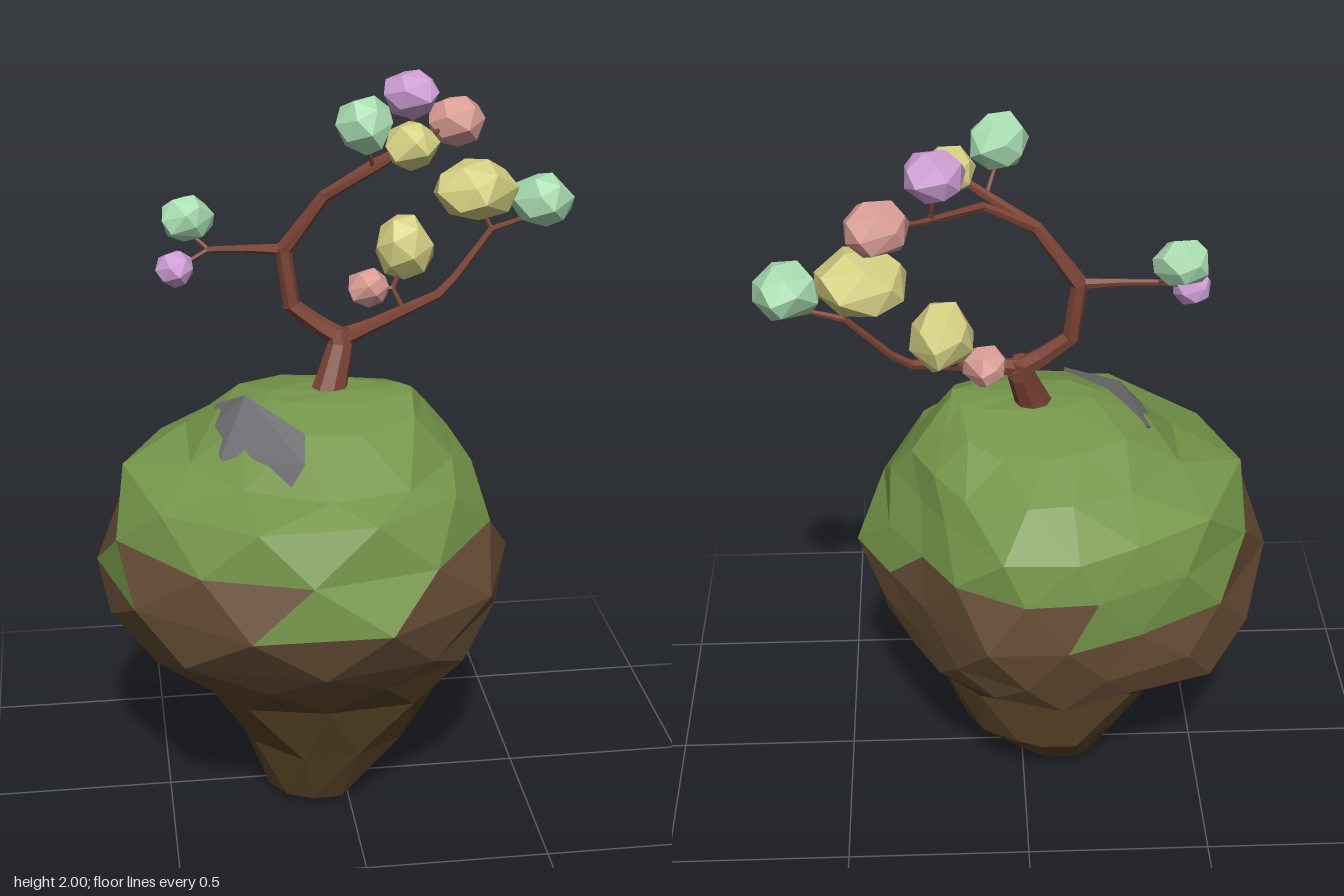
import * as THREE from 'three';
import { ConvexGeometry } from 'three/addons/geometries/ConvexGeometry.js';

const mat = (color) => new THREE.MeshStandardMaterial({ color, flatShading: true, roughness: 0.9 });
const bark = mat(0x7a4234);
const leafMats = {
  green: mat(0xa8dcb0), yellow: mat(0xd6d284), pink: mat(0xd69a92), violet: mat(0xcc9cd3),
};

// small seeded generator, returns -1..1
let seed = 7;
const rnd = () => {
  seed = (seed * 16807) % 2147483647;
  return (seed / 2147483647) * 2 - 1;
};

function mesh(name, geometry, material) {
  const m = new THREE.Mesh(geometry, material);
  m.name = name;
  return m;
}

function fromTriangles(points) {
  const g = new THREE.BufferGeometry().setFromPoints(points);
  g.computeVertexNormals();
  return g;
}

// Island plan: corners as [degrees from +x towards +z, relative radius]
const PLAN = [[2, 1], [38, 1.03], [73, 1.035], [109, 1.02], [147, 1], [184, 1],
  [220, 0.94], [250, 0.91], [271, 1], [291, 1.07], [319, 0.89], [342, 0.88]];
// Island rings: [y, left x, right x, back z, front z, how far the plan applies,
// then the diagonal bulge towards front left, front right, back right]
const RINGS = [
  [0.015, -0.22, 0.02, -0.11, 0.16, 0, 0.15, 0, 0.1],
  [0.18, -0.29, 0.17, -0.26, 0.22, 0, 0.1, 0.05, 0.05],
  [0.36, -0.39, 0.27, -0.28, 0.28, 0.3, 0.1, 0.1, 0.22],
  [0.49, -0.57, 0.36, -0.46, 0.37, 0.6, 0.08, 0.05, 0.1],
  [0.59, -0.64, 0.40, -0.51, 0.47, 0.9, 0.03, 0, 0.04],
  [0.715, -0.68, 0.46, -0.55, 0.55, 1, 0, 0, 0],
  [0.85, -0.63, 0.40, -0.53, 0.50, 1, 0, 0, 0],
  [0.975, -0.58, 0.34, -0.51, 0.46, 0.8, 0, 0, 0],
  [1.04, -0.44, 0.30, -0.40, 0.36, 0.6, 0, -0.08, 0],
  [1.14, -0.33, 0.22, -0.27, 0.21, 0.2, 0, -0.12, 0],
  [1.185, -0.20, 0.19, -0.09, 0.08, 0, 0, 0, 0],
];
// directions (degrees from +x towards +z) where the grass hangs lower
const GRASS_TONGUES = [[60, 104], [-28, 5], [-150, -95], [160, 180]];

function buildIsland() {
  const N = PLAN.length;
  const rings = RINGS.map(([y, x0, x1, z0, z1, planAmount, ...bulge], i) => {
    const level = i === 0 || i === 5 || i === 10;
    return PLAN.map(([deg, radius], j) => {
      let a = deg, p = radius;
      // every other ring sits halfway between the corners
      if (i % 2 === 0) {
        const [deg2, radius2] = PLAN[(j + 1) % N];
        a = (deg + deg2 + (j === N - 1 ? 360 : 0)) / 2;
        p = (radius + radius2) / 2;
      }
      a = THREE.MathUtils.degToRad((a + (level ? 0 : rnd() * 3)) % 360);
      const swell = bulge[Math.floor(((a + Math.PI * 2) % (Math.PI * 2)) / (Math.PI / 2))] ?? 0;
      const r = (1 + planAmount * (p - 1)) * (1 + swell * Math.abs(Math.sin(2 * a)))
        * (i === 5 ? 1 : 1.025 + rnd() * 0.02);
      const tilt = i === 8 ? -0.025 * Math.sin(a) : 0;
      return new THREE.Vector3(
        (x0 + x1) / 2 + Math.cos(a) * r * (x1 - x0) / 2,
        y + tilt + rnd() * (level ? 0.004 : 0.014),
        (z0 + z1) / 2 + Math.sin(a) * r * (z1 - z0) / 2);
    });
  });

  const parts = { grass: [], soil: [], lowerSoil: [] };
  const add = (i, a, b, c) => {
    const mid = a.clone().add(b).add(c).divideScalar(3);
    const deg = THREE.MathUtils.radToDeg(Math.atan2(mid.z, mid.x + 0.11));
    const hangs = GRASS_TONGUES.some(([lo, hi]) => deg > lo && deg < hi);
    const part = i > 5 || (i === 5 && hangs) ? 'grass' : i > 2 ? 'soil' : 'lowerSoil';
    parts[part].push(a, b, c);
  };
  for (let i = 0; i < rings.length - 1; i++) {
    const lo = rings[i], hi = rings[i + 1];
    for (let j = 0; j < N; j++) {
      const k = (j + 1) % N;
      if (i % 2 === 1) {
        add(i, lo[j], hi[j], lo[k]);
        add(i, lo[k], hi[j], hi[k]);
      } else {
        add(i, lo[j], hi[j], hi[k]);
        add(i, lo[j], hi[k], lo[k]);
      }
    }
  }
  // caps
  const bottom = new THREE.Vector3(-0.1, 0, 0.02), top = new THREE.Vector3(-0.01, 1.19, 0);
  const last = rings.length - 1;
  for (let j = 0; j < N; j++) {
    const k = (j + 1) % N;
    add(0, bottom, rings[0][j], rings[0][k]);
    add(last, top, rings[last][k], rings[last][j]);
  }

  const island = new THREE.Group();
  island.name = 'island';
  island.add(
    mesh('grass', fromTriangles(parts.grass), mat(0x75964a)),
    mesh('soil', fromTriangles(parts.soil), mat(0x654c34)),
    mesh('lowerSoil', fromTriangles(parts.lowerSoil), mat(0x574226)));
  return island;
}

// Tapered limb swept through points [x, y, z, radius]
function limb(name, path, sides = 6) {
  const pts = path.map(([x, y, z]) => new THREE.Vector3(x, y, z));
  const rings = pts.map((p, i) => {
    const t = pts[Math.min(i + 1, pts.length - 1)].clone().sub(pts[Math.max(i - 1, 0)]).normalize();
    const u = new THREE.Vector3(0.1, 0.2, 1).cross(t).normalize();
    const v = t.clone().cross(u);
    return Array.from({ length: sides }, (_, j) => {
      const a = (j / sides) * Math.PI * 2;
      return p.clone().addScaledVector(u, Math.cos(a) * path[i][3]).addScaledVector(v, Math.sin(a) * path[i][3]);
    });
  });
  const tris = [], end = rings.length - 1;
  for (let j = 0; j < sides; j++) {
    const k = (j + 1) % sides;
    for (let i = 0; i < end; i++) {
      const [a, b, c, d] = [rings[i][j], rings[i][k], rings[i + 1][k], rings[i + 1][j]];
      tris.push(a, b, c, a, c, d);
    }
    tris.push(pts[0], rings[0][k], rings[0][j], pts[end], rings[end][j], rings[end][k]);
  }
  return mesh(name, fromTriangles(tris), bark);
}

// Faceted leaf cluster from a jittered spiral of points on an ellipsoid
function leafCluster(color, [x, y, z], [rx, ry, rz]) {
  const n = 20, pts = [];
  for (let i = 0; i < n; i++) {
    const h = 1 - (2 * i + 1) / n, a = i * 2.39996 + rnd() * 0.3, r = Math.sqrt(1 - h * h);
    const s = 1.08 + rnd() * 0.05;
    pts.push(new THREE.Vector3(Math.cos(a) * r * rx, h * ry, Math.sin(a) * r * rz).multiplyScalar(s));
  }
  const m = mesh(color + 'LeafCluster', new ConvexGeometry(pts), leafMats[color]);
  m.position.set(x, y, z);
  return m;
}

function buildTree() {
  const tree = new THREE.Group();
  tree.name = 'tree';
  tree.add(
    limb('trunk', [[-0.04, 1.14, -0.03, 0.056], [-0.02, 1.21, -0.05, 0.044], [0.005, 1.29, -0.08, 0.036], [0.0, 1.335, -0.09, 0.03]], 8),
    limb('mainBranch', [[0.02, 1.30, -0.085, 0.03], [-0.05, 1.345, -0.09, 0.026], [-0.125, 1.405, -0.095, 0.024],
      [-0.145, 1.56, -0.1, 0.024], [-0.035, 1.71, -0.08, 0.017], [0.11, 1.80, -0.045, 0.013], [0.17, 1.84, -0.03, 0.007]]),
    limb('topBranch', [[-0.035, 1.71, -0.08, 0.015], [0.1, 1.785, -0.11, 0.012], [0.25, 1.81, -0.25, 0.008], [0.35, 1.83, -0.33, 0.006]]),
    limb('leftBranch', [[-0.005, 1.305, -0.08, 0.028], [0.1, 1.335, -0.11, 0.019], [0.29, 1.385, -0.19, 0.013],
      [0.34, 1.425, -0.21, 0.011], [0.45, 1.55, -0.25, 0.009], [0.57, 1.585, -0.255, 0.006]]),
    limb('rightBranch', [[-0.14, 1.56, -0.1, 0.016], [-0.24, 1.565, -0.105, 0.01], [-0.35, 1.565, -0.11, 0.008]]));
  // twigs that carry the leaf clusters
  const twigs = [
    [[-0.345, 1.565, -0.11], [-0.40, 1.61, -0.15]],
    [[-0.345, 1.565, -0.11], [-0.43, 1.53, -0.07]],
    [[0.09, 1.79, -0.05], [0.06, 1.87, -0.01]],
    [[0.23, 1.81, -0.23], [0.22, 1.90, -0.26]],
    [[0.19, 1.36, -0.15], [0.17, 1.40, -0.22]],
    [[0.17, 1.40, -0.22], [0.11, 1.40, -0.235]],
    [[0.17, 1.40, -0.22], [0.21, 1.47, -0.27]],
    [[0.45, 1.55, -0.25], [0.41, 1.63, -0.27]],
  ];
  for (const [a, b] of twigs) tree.add(limb('twig', [[...a, 0.007], [...b, 0.005]], 5));

  const clusters = [
    ['green', [0.06, 1.915, -0.005], [0.073, 0.073, 0.078]],
    ['violet', [0.22, 1.933, -0.26], [0.073, 0.062, 0.08]],
    ['yellow', [0.185, 1.85, -0.03], [0.068, 0.06, 0.075]],
    ['pink', [0.36, 1.835, -0.34], [0.078, 0.068, 0.074]],
    ['green', [-0.40, 1.64, -0.155], [0.07, 0.06, 0.06]],
    ['violet', [-0.437, 1.53, -0.065], [0.05, 0.046, 0.054]],
    ['yellow', [0.405, 1.66, -0.27], [0.112, 0.08, 0.114]],
    ['yellow', [0.21, 1.505, -0.27], [0.08, 0.088, 0.082]],
    ['pink', [0.10, 1.40, -0.235], [0.057, 0.052, 0.055]],
    ['green', [0.592, 1.63, -0.25], [0.08, 0.072, 0.08]],
  ];
  for (const c of clusters) tree.add(leafCluster(...c));
  return tree;
}

// Angular boulder set into the slope
function buildRock() {
  const corners = [
    [-0.335, 1.13, -0.1], [-0.38, 1.07, 0.0], [-0.265, 1.2, 0.03], [-0.125, 1.15, 0.2], [-0.135, 1.1, 0.29],
    [-0.33, 0.98, 0.21], [-0.22, 0.97, 0.32], [-0.34, 1.07, 0.13], [-0.15, 0.98, 0.1], [-0.32, 0.98, 0.0],
  ].map((p) => new THREE.Vector3(...p));
  return mesh('rock', new ConvexGeometry(corners), mat(0x6f6e72));
}

export function createModel() {
  const model = new THREE.Group();
  model.name = 'floatingIsland';
  model.add(buildIsland(), buildRock(), buildTree());
  return model;
}
